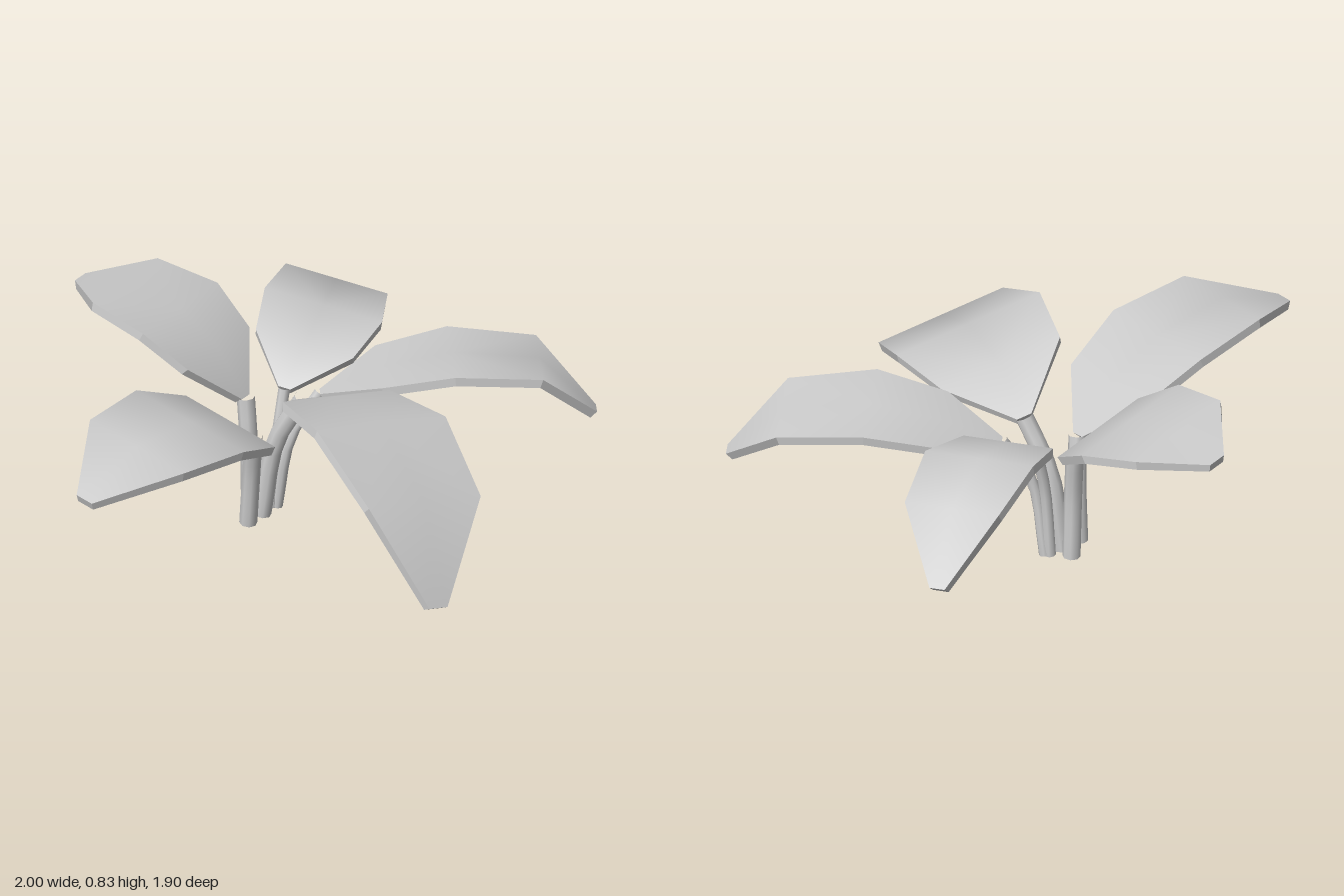
import * as THREE from 'three';

const THICK = 0.035;
// Half-width of every leaf from base to tip, as a share of its widest row.
const WIDTHS = [0.1, 0.83, 1, 0.87, 0.14];

// spine: centre line of the upper face from base to tip
// side: half-width towards the left edge at the widest row
// root, knee: stem start and bend; the stem ends at the leaf base
const LEAVES = [
  {
    name: 'leftLeaf', side: [0, -0.017, -0.21], radius: 0.022,
    spine: [[-0.03, 0.5, -0.1], [0.19, 0.585, -0.12], [0.46, 0.637, -0.12], [0.79, 0.595, -0.125], [1, 0.38, -0.1]],
    root: [-0.19, 0.01, -0.1], knee: [-0.14, 0.32, -0.08],
  },
  {
    name: 'frontLeaf', side: [0.25, -0.068, -0.142], radius: 0.036,
    spine: [[-0.1, 0.54, 0.01], [0.01, 0.655, 0.185], [0.16, 0.67, 0.415], [0.3, 0.505, 0.715], [0.335, 0.175, 0.93]],
    root: [-0.25, 0.01, -0.05], knee: [-0.2, 0.33, -0.035],
  },
  {
    name: 'frontRightLeaf', side: [0.186, -0.026, 0.19], radius: 0.034,
    spine: [[-0.29, 0.43, 0.08], [-0.385, 0.575, 0.205], [-0.55, 0.695, 0.385], [-0.765, 0.733, 0.61], [-0.975, 0.63, 0.8]],
    root: [-0.305, 0.01, 0.01], knee: [-0.295, 0.25, 0.035],
  },
  {
    name: 'backLeaf', side: [-0.212, 0.035, -0.082], radius: 0.022,
    spine: [[-0.16, 0.5, -0.135], [-0.075, 0.605, -0.27], [0.01, 0.65, -0.465], [0.08, 0.595, -0.735], [0.11, 0.37, -0.94]],
    root: [-0.21, 0.01, -0.1], knee: [-0.19, 0.3, -0.1],
  },
  {
    name: 'backRightLeaf', side: [-0.155, 0.03, 0.217], radius: 0.034,
    spine: [[-0.305, 0.48, -0.115], [-0.4, 0.645, -0.195], [-0.535, 0.76, -0.305], [-0.73, 0.81, -0.435], [-0.89, 0.765, -0.545]],
    root: [-0.29, 0.01, -0.1], knee: [-0.295, 0.28, -0.09],
  },
];

const vec = (p) => new THREE.Vector3(...p);

// Blade of straight rows, smooth on both faces, closed by a flat-shaded rim.
function leafGeometry(spine, side) {
  const grid = spine.flatMap((p, i) =>
    [1, 0, -1].map((s) => vec(p).addScaledVector(vec(side), s * WIDTHS[i])));
  const faces = [];
  for (let i = 0; i < spine.length - 1; i++) {
    for (let j = 0; j < 2; j++) {
      const a = i * 3 + j, b = a + 1, c = a + 3, d = a + 4;
      // mirrored diagonals about the centre line
      if (j === 0) faces.push(a, b, c, b, d, c);
      else faces.push(a, b, d, a, d, c);
    }
  }
  const top = new THREE.BufferGeometry().setFromPoints(grid);
  top.setIndex(faces);
  top.computeVertexNormals();
  const normals = grid.map((_, i) => new THREE.Vector3().fromBufferAttribute(top.attributes.normal, i));
  const under = grid.map((p, i) => p.clone().addScaledVector(normals[i], -THICK));

  const pos = [], nor = [];
  const add = (p, n) => { pos.push(...p.toArray()); nor.push(...n.toArray()); };
  faces.forEach((i) => add(grid[i], normals[i]));
  for (let k = 0; k < faces.length; k += 3) {
    [faces[k], faces[k + 2], faces[k + 1]].forEach((i) => add(under[i], normals[i].clone().negate()));
  }

  // rim follows the outline: base, right edge, tip, left edge
  const last = spine.length - 1;
  const loop = [0, 1];
  for (let i = 0; i <= last; i++) loop.push(i * 3 + 2);
  loop.push(last * 3 + 1);
  for (let i = last; i > 0; i--) loop.push(i * 3);
  loop.forEach((a, k) => {
    const b = loop[(k + 1) % loop.length];
    const n = under[a].clone().sub(grid[a]).cross(grid[b].clone().sub(grid[a])).normalize();
    [grid[a], under[a], grid[b], under[a], under[b], grid[b]].forEach((p) => add(p, n));
  });

  const geo = new THREE.BufferGeometry();
  geo.setAttribute('position', new THREE.Float32BufferAttribute(pos, 3));
  geo.setAttribute('normal', new THREE.Float32BufferAttribute(nor, 3));
  return geo;
}

export function createModel() {
  const model = new THREE.Group();
  model.name = 'plant';
  const material = new THREE.MeshStandardMaterial({ color: 0xcccccc });
  const mesh = (geo, name) => {
    const m = new THREE.Mesh(geo, material);
    m.name = name;
    return m;
  };

  for (const { name, side, radius, spine, root, knee } of LEAVES) {
    const group = new THREE.Group();
    group.name = name;
    group.add(mesh(leafGeometry(spine, side), 'blade'));

    // stem with a flat cap at the ground
    const curve = new THREE.CatmullRomCurve3([root, knee, spine[0]].map(vec));
    group.add(mesh(new THREE.TubeGeometry(curve, 6, radius, 8), 'stem'));
    const cap = mesh(new THREE.CircleGeometry(radius, 8), 'stemCap');
    cap.position.copy(vec(root));
    cap.lookAt(cap.position.clone().sub(curve.getTangent(0)));
    group.add(cap);
    model.add(group);
  }
  return model;
}
